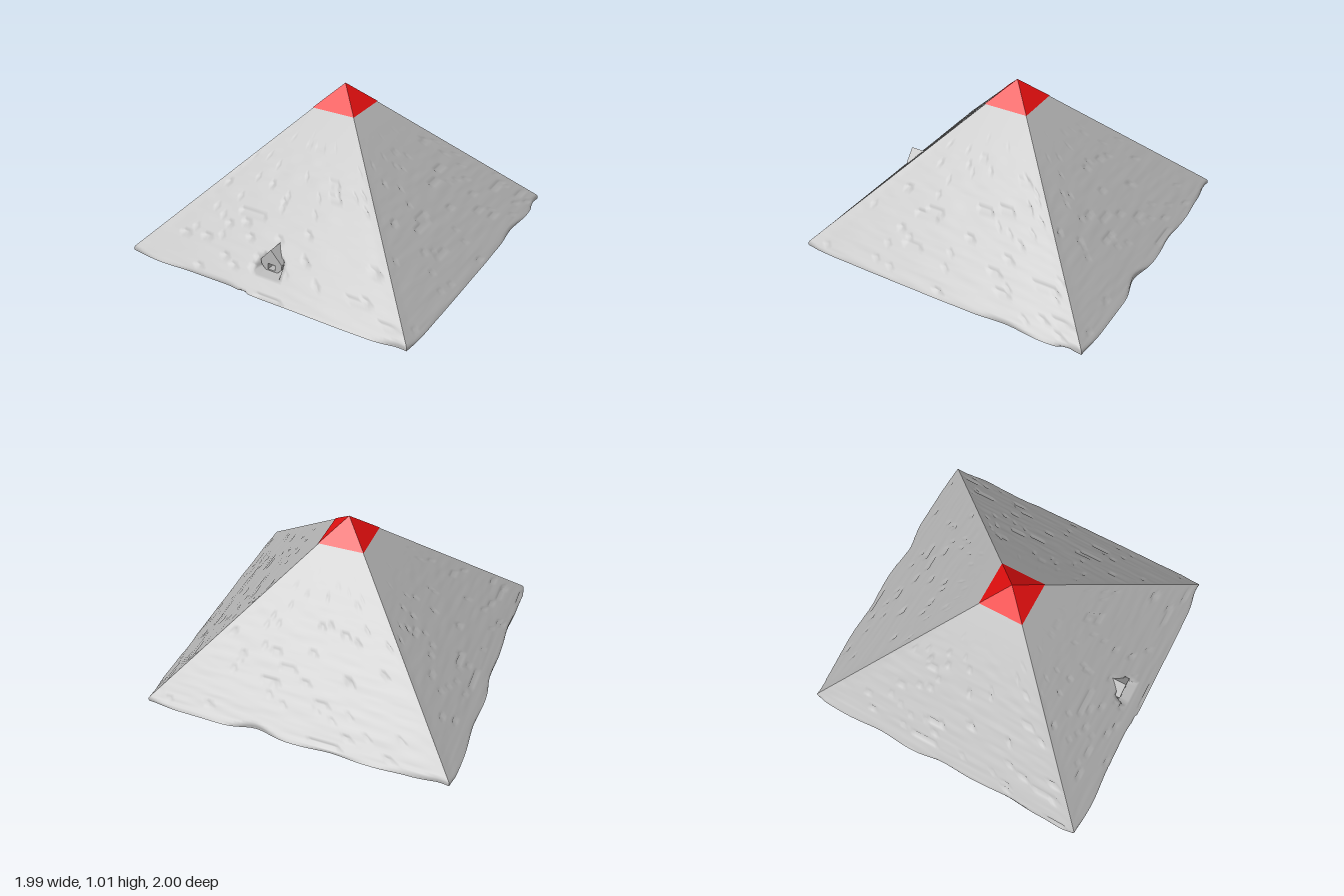
import * as THREE from 'three';

const APEX = 1.01, BODY_TOP = 0.87, COLS = 80, ROWS = 60;

// Repeatable value noise
const hash = (a, b) => {
  const s = Math.sin(a * 127.1 + b * 311.7) * 43758.5453;
  return s - Math.floor(s);
};
const noise = (x, row) => {
  const i = Math.floor(x), f = x - i, t = f * f * (3 - 2 * f);
  return hash(i, row) * (1 - t) + hash(i + 1, row) * t;
};

// One weathered face of the pyramid, as rows of points from the rim upward
function facePoint(side, i, j) {
  const u = (i / COLS) * 2 - 1;
  const y = BODY_TOP * Math.pow(j / ROWS, 1.1);
  const half = 1 - y / APEX;
  const edge = Math.min(1, (1 - Math.abs(u)) * 12);
  const fade = edge * Math.min(1, Math.max(0, (0.76 - y) / 0.25));

  // chipped rim along the ground
  const chip = 0.025 * (1 - edge) + edge * 0.04 * noise((u + 1) * 4, side * 17 + 5) ** 1.5;
  let out = Math.min(half, 1 - chip);

  // stone courses and a few deeper cracks
  const row = j + side * 100;
  out -= fade * 0.004 * noise((u + 1) * 5, row);
  if (noise((u + 1) * 8, row + 500) > 0.93) out -= fade * 0.012;

  const x = u * Math.min(half, 0.975);
  // hollow behind the entrance
  if (side === 0 && Math.abs(x) < 0.075 && y > 0.1 && y < 0.18) out = Math.min(out, 0.8);
  return new THREE.Vector3(x, y, out).applyAxisAngle(new THREE.Vector3(0, 1, 0), side * Math.PI / 2);
}

function faceGeometry(side) {
  const pos = [], idx = [], w = COLS + 1;
  for (let j = 0; j <= ROWS; j++)
    for (let i = 0; i <= COLS; i++) pos.push(...facePoint(side, i, j).toArray());
  for (let j = 0; j < ROWS; j++)
    for (let i = 0; i < COLS; i++) {
      const a = j * w + i;
      idx.push(a, a + 1, a + w, a + 1, a + w + 1, a + w);
    }
  return buildGeometry(pos, idx);
}

// Underside fan that meets the chipped rim
function undersideGeometry() {
  const pos = [0, 0, 0], idx = [], n = COLS * 4;
  for (let side = 0; side < 4; side++)
    for (let i = 0; i < COLS; i++) pos.push(...facePoint(side, i, 0).toArray());
  for (let k = 0; k < n; k++) idx.push(((k + 1) % n) + 1, k + 1, 0);
  return buildGeometry(pos, idx);
}

function buildGeometry(pos, idx) {
  const g = new THREE.BufferGeometry();
  g.setAttribute('position', new THREE.Float32BufferAttribute(pos, 3));
  g.setIndex(idx);
  g.computeVertexNormals();
  return g;
}

// Gabled entrance block with a small doorway
function entranceGeometry() {
  const shape = new THREE.Shape([
    [0, 0.25], [-0.075, 0.165], [-0.07, 0.13], [-0.04, 0.1],
    [0.04, 0.1], [0.07, 0.13], [0.075, 0.165],
  ].map(([x, y]) => new THREE.Vector2(x, y)));
  shape.holes.push(new THREE.Path([
    [-0.025, 0.11], [0.025, 0.11], [0.025, 0.15], [-0.025, 0.15],
  ].map(([x, y]) => new THREE.Vector2(x, y))));
  return new THREE.ExtrudeGeometry(shape, { depth: 0.125, bevelEnabled: false });
}

export function createModel() {
  const stone = new THREE.MeshStandardMaterial({ color: 0xb8b8b8 });
  stone.name = 'grey stone';
  const red = new THREE.MeshStandardMaterial({ color: 0xee1010 });
  red.name = 'red capstone';

  const model = new THREE.Group();
  model.name = 'pyramid';
  const add = (name, geometry, material) => {
    const mesh = new THREE.Mesh(geometry, material);
    mesh.name = name;
    model.add(mesh);
    return mesh;
  };

  ['frontFace', 'leftFace', 'backFace', 'rightFace'].forEach((name, side) =>
    add(name, faceGeometry(side), stone));
  add('underside', undersideGeometry(), stone);
  add('entrance', entranceGeometry(), stone).position.z = 0.72;

  // Four-sided capstone, slightly proud of the body
  const capHeight = APEX - 0.865;
  const cap = new THREE.ConeGeometry(0.148 * Math.SQRT2, capHeight, 4).rotateY(Math.PI / 4).toNonIndexed();
  cap.computeVertexNormals();
  add('capstone', cap, red).position.y = APEX - capHeight / 2;

  return model;
}
